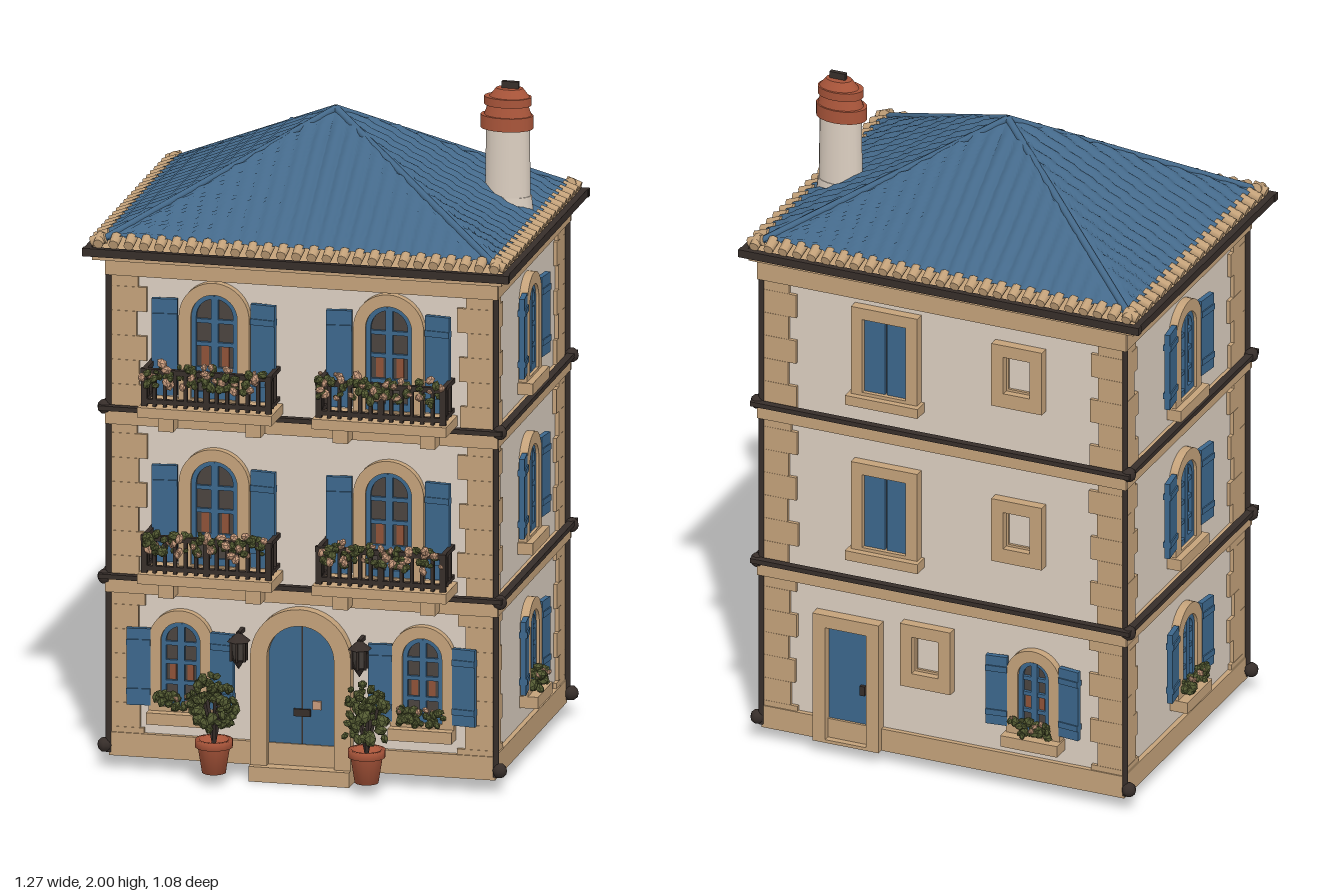
import * as THREE from 'three';
import { mergeGeometries, mergeVertices } from 'three/addons/utils/BufferGeometryUtils.js';

const mat = (name, color, extra = {}) => new THREE.MeshStandardMaterial({ name, color, ...extra });

export function createModel() {
  const M = {
    wall: mat('plaster', 0xdccfc1), stone: mat('sandstone', 0xc4a27a),
    roof: mat('roof blue', 0x44698a, { side: THREE.DoubleSide }), blue: mat('shutter blue', 0x3c678c),
    iron: mat('dark iron', 0x372e2a), clay: mat('terracotta', 0xa9553a),
    leaf: mat('leaf green', 0x555c33), flower: mat('pale flower', 0xc79a7c),
    glass: mat('dark glass', 0x4b443f), curtain: mat('rust curtain', 0x8f5238),
  };
  let seed = 7;
  const rnd = () => (seed = (seed * 16807) % 2147483647) / 2147483647;
  const model = new THREE.Group();
  model.name = 'townHouse';

  const add = (parent, name, geo, material, x = 0, y = 0, z = 0) => {
    const m = new THREE.Mesh(geo, material);
    m.name = name;
    m.position.set(x, y, z);
    parent.add(m);
    return m;
  };
  const box = (p, name, material, w, h, d, x, y, z) => add(p, name, new THREE.BoxGeometry(w, h, d), material, x, y, z);
  const group = (p, name, x = 0, y = 0, z = 0) => {
    const g = new THREE.Group();
    g.name = name;
    g.position.set(x, y, z);
    p.add(g);
    return g;
  };

  // Outline of an opening, standing on y = bottom, with a round or square head
  const outline = (w, h, bottom, arched, C = THREE.Shape) => {
    const s = new C(), r = w / 2, top = bottom + h;
    s.moveTo(-r, bottom).lineTo(r, bottom);
    if (arched) s.lineTo(r, top - r).absarc(0, top - r, r, 0, Math.PI, false);
    else s.lineTo(r, top).lineTo(-r, top);
    s.lineTo(-r, bottom);
    return s;
  };
  const slab = (shape, depth) => new THREE.ExtrudeGeometry(shape, { depth, bevelEnabled: false, curveSegments: 10 });
  const ring = (w, h, t, b, arched, depth) => {
    const s = outline(w, h, 0, arched);
    s.holes.push(outline(w - 2 * t, h - t - b, b, arched, THREE.Path));
    return slab(s, depth);
  };

  // Scatter of small leaves or petals inside a box
  const foliage = (p, name, material, n, size, w, h, d, x, y, z) => {
    const parts = [];
    for (let i = 0; i < n; i++) {
      const g = new THREE.IcosahedronGeometry(size * (0.6 + 0.7 * rnd()), 0);
      g.scale(1, 0.7, 0.8).rotateZ(rnd() * 3).rotateY(rnd() * 3);
      g.translate((rnd() - 0.5) * w, (rnd() - 0.5) * h, (rnd() - 0.5) * d);
      parts.push(g);
    }
    add(p, name, mergeGeometries(parts), material, x, y, z);
  };

  // Arched window with glazing bars and open shutters
  const archWindow = (face, x, y, w, h, shutterGap, shutterW, shutterH, shutterY) => {
    const g = group(face, 'archedWindow', x, y, 0), t = 0.036, iw = w - 2 * t, ih = h - t - 0.02;
    add(g, 'windowSurround', ring(w, h, t, 0.02, true, 0.035), M.stone, 0, 0, -0.01);
    add(g, 'windowGlass', slab(outline(iw, ih, 0.02, true), 0.03), M.glass, 0, 0, -0.025);
    add(g, 'windowFrame', ring(iw, ih, 0.014, 0.02, true, 0.01), M.blue, 0, 0.02, 0.006);
    box(g, 'mullion', M.blue, 0.02, ih - 0.01, 0.012, 0, 0.02 + ih / 2, 0.011);
    for (const f of [0.28, 0.52, 0.74]) box(g, 'glazingBar', M.blue, iw, 0.012, 0.01, 0, 0.02 + ih * f, 0.01);
    for (const s of [-1, 1]) {
      box(g, 'curtain', M.curtain, iw * 0.16, ih * 0.2, 0.004, s * iw * 0.22, 0.02 + ih * 0.41, 0.006);
      const sh = group(g, 'shutter', s * shutterGap, shutterY - y, 0.022);
      sh.rotation.y = -s * 0.12;
      box(sh, 'shutterPanel', M.blue, shutterW, shutterH, 0.016, 0, 0, 0);
      for (const k of [-0.32, 0.32]) box(sh, 'shutterBatten', M.blue, shutterW, 0.018, 0.024, 0, k * shutterH, 0);
    }
    return g;
  };
  const sillGarden = (g, w) => {
    box(g, 'windowSill', M.stone, w, 0.035, 0.06, 0, -0.012, 0.025);
    foliage(g, 'sillPlants', M.leaf, 34, 0.016, w * 0.72, 0.05, 0.03, 0, 0.04, 0.04);
    foliage(g, 'sillFlowers', M.flower, 5, 0.01, w * 0.7, 0.03, 0.02, 0, 0.055, 0.05);
  };

  // Balcony with railing, corbels and flowers
  const balcony = (face, x, y) => {
    const b = group(face, 'balcony', x, y, 0), W = 0.37, D = 0.115;
    box(b, 'balconyFloor', M.stone, 0.4, 0.03, 0.14, 0, 0.01, 0.07);
    for (const s of [-1, 1]) {
      box(b, 'corbel', M.stone, 0.045, 0.06, 0.08, s * 0.13, -0.03, 0.04);
      box(b, 'sideRail', M.iron, 0.014, 0.014, D, s * W / 2, 0.13, D / 2);
      box(b, 'sideRail', M.iron, 0.012, 0.012, D, s * W / 2, 0.04, D / 2);
      for (const z of [0.035, 0.075]) box(b, 'sideBaluster', M.iron, 0.01, 0.1, 0.01, s * W / 2, 0.08, z);
    }
    box(b, 'topRail', M.iron, W + 0.02, 0.016, 0.016, 0, 0.13, D);
    box(b, 'bottomRail', M.iron, W, 0.014, 0.014, 0, 0.04, D);
    for (let i = 0; i <= 12; i++) box(b, 'baluster', M.iron, i % 6 ? 0.01 : 0.018, 0.115, 0.012, -W / 2 + i * W / 12, 0.08, D);
    foliage(b, 'balconyLeaves', M.leaf, 60, 0.015, W, 0.06, 0.04, 0, 0.12, D + 0.012);
    foliage(b, 'balconyFlowers', M.flower, 26, 0.015, W, 0.07, 0.05, 0, 0.125, D + 0.018);
  };

  // Four walls, each with its own frame: local +z points outwards
  const face = (name, rot, x, z, hw) => {
    const f = group(model, name, x, 0, z);
    f.rotation.y = rot;
    box(f, 'wall', M.wall, 2 * hw, 1.5, 0.02, 0, 0.79, -0.01);
    box(f, 'plinth', M.stone, 2 * hw + 0.03, 0.07, 0.03, 0, 0.075, 0);
    box(f, 'frieze', M.stone, 2 * hw + 0.05, 0.06, 0.04, 0, 1.515, 0.005);
    for (const y of [0.555, 1.06]) {
      box(f, 'floorBand', M.stone, 2 * hw + 0.05, 0.045, 0.04, 0, y, 0.005);
      box(f, 'bandTrim', M.iron, 2 * hw + 0.08, 0.014, 0.022, 0, y + 0.027, 0.03);
    }
    // Toothed corner stones
    for (const s of [-1, 1]) for (let i = 0; i < 20; i++) {
      const w = (i % 2 ? 0.075 : 0.098) + 0.012 * rnd();
      box(f, 'cornerStone', M.stone, w, 0.073, 0.022, s * (hw + 0.01 - w / 2), 0.09 + i * 0.0735, 0);
    }
    return f;
  };
  const ZC = -0.06;
  const front = face('frontWall', 0, 0, 0.36, 0.56);
  const back = face('backWall', Math.PI, 0, -0.48, 0.56);
  const sides = [face('leftWall', Math.PI / 2, 0.56, ZC, 0.42), face('rightWall', -Math.PI / 2, -0.56, ZC, 0.42)];

  // Front windows, balconies, lanterns and potted shrubs
  for (const s of [-1, 1]) {
    for (const y of [0.61, 1.11]) {
      archWindow(front, s * 0.26, y, 0.21, 0.37, 0.147, 0.075, 0.29, y + 0.17);
      balcony(front, s * 0.26, y - 0.01);
    }
    sillGarden(archWindow(front, s * 0.36, 0.18, 0.19, 0.31, 0.125, 0.07, 0.23, 0.315), 0.19);

    const l = group(front, 'lantern', s * 0.18, 0.39, 0.05);
    box(l, 'lanternArm', M.iron, 0.012, 0.012, 0.06, 0, 0.05, -0.025);
    add(l, 'lanternGlass', new THREE.CylinderGeometry(0.026, 0.015, 0.06, 6), M.glass);
    add(l, 'lanternRoof', new THREE.ConeGeometry(0.036, 0.03, 6), M.iron, 0, 0.043, 0);
    add(l, 'lanternBase', new THREE.ConeGeometry(0.02, 0.03, 6), M.iron, 0, -0.042, 0).rotation.x = Math.PI;
    for (let i = 0; i < 6; i++) box(l, 'lanternBar', M.iron, 0.007, 0.062, 0.007, 0.023 * Math.sin(i * Math.PI / 3), 0, 0.023 * Math.cos(i * Math.PI / 3));

    const p = group(model, 'pottedShrub', s < 0 ? -0.24 : 0.215, 0.035, 0.465);
    const profile = [[0, 0], [0.035, 0], [0.047, 0.075], [0.055, 0.077], [0.055, 0.1], [0.043, 0.1], [0.04, 0.085], [0, 0.085]];
    add(p, 'pot', new THREE.LatheGeometry(profile.map(a => new THREE.Vector2(...a)), 16), M.clay);
    for (let i = 0; i < 5; i++) {
      const a = i * 1.26, r = 0.035;
      const path = new THREE.CatmullRomCurve3([new THREE.Vector3(0, 0.08, 0), new THREE.Vector3(r * 0.4 * Math.cos(a), 0.15, r * 0.4 * Math.sin(a)), new THREE.Vector3(r * Math.cos(a), 0.23, r * Math.sin(a))]);
      add(p, 'stem', new THREE.TubeGeometry(path, 5, 0.005, 5), M.iron);
    }
    foliage(p, 'shrubLeaves', M.leaf, 60, 0.019, 0.12, 0.13, 0.11, 0, 0.2, 0);
    foliage(p, 'shrubTop', M.leaf, 14, 0.015, 0.06, 0.06, 0.05, 0.01 * s, 0.265, 0);
  }

  // Front door and step
  const door = group(front, 'frontDoor', 0, 0.04, 0);
  add(door, 'doorSurround', ring(0.3, 0.48, 0.05, 0, true, 0.045), M.stone, 0, 0, -0.01);
  add(door, 'doorLeaf', slab(outline(0.2, 0.43, 0.01, true), 0.035), M.blue, 0, 0, -0.025);
  box(door, 'doorSeam', M.iron, 0.004, 0.42, 0.004, 0, 0.22, 0.01);
  box(door, 'letterPlate', M.iron, 0.05, 0.022, 0.008, 0, 0.165, 0.013);
  box(door, 'doorHandle', M.flower, 0.025, 0.025, 0.012, 0.045, 0.19, 0.013);
  box(model, 'doorStep', M.stone, 0.3, 0.045, 0.09, 0, 0.0225, 0.37);

  // Side windows
  for (const f of sides) {
    for (const y of [0.65, 1.13]) {
      const g = archWindow(f, 0, y, 0.18, 0.32, 0.122, 0.07, 0.24, y + 0.16);
      box(g, 'windowSill', M.stone, 0.2, 0.035, 0.05, 0, -0.005, 0.02);
    }
    sillGarden(archWindow(f, 0.01, 0.19, 0.17, 0.28, 0.115, 0.065, 0.22, 0.325), 0.175);
  }

  // Back: closed shutters, small blind openings, service door and garden window
  const smallOpening = y => {
    for (const x of y < 0.5 ? [-0.05] : [0.24]) {
      add(back, 'smallWindowSurround', ring(0.16, 0.2, 0.038, 0.045, false, 0.035), M.stone, x, y - 0.1, -0.005);
      add(back, 'smallWindowRim', ring(0.09, 0.12, 0.01, 0.01, false, 0.008), M.stone, x, y - 0.058, 0);
    }
  };
  [0.37, 0.83, 1.33].forEach(smallOpening);
  for (const y of [0.65, 1.15]) {
    const g = group(back, 'backWindow', -0.18, y, 0);
    add(g, 'backWindowSurround', ring(0.21, 0.31, 0.036, 0.04, false, 0.035), M.stone, 0, 0, -0.005);
    box(g, 'backWindowSill', M.stone, 0.23, 0.03, 0.06, 0, 0.015, 0.02);
    box(g, 'backWindowGlass', M.glass, 0.14, 0.235, 0.03, 0, 0.155, -0.01);
    for (const s of [-1, 1]) box(g, 'closedShutter', M.blue, 0.064, 0.23, 0.014, s * 0.035, 0.155, 0.01);
  }
  const bd = group(back, 'backDoor', -0.3, 0.04, 0);
  add(bd, 'backDoorSurround', ring(0.21, 0.41, 0.04, 0.01, false, 0.04), M.stone, 0, 0, -0.005);
  box(bd, 'backDoorLeaf', M.blue, 0.13, 0.36, 0.03, 0, 0.19, -0.008);
  box(bd, 'backDoorHandle', M.iron, 0.015, 0.03, 0.012, 0.045, 0.18, 0.012);
  sillGarden(archWindow(back, 0.29, 0.18, 0.17, 0.28, 0.115, 0.065, 0.22, 0.315), 0.18);

  // Downpipes with knobs at the floor bands
  for (const x of [-0.577, 0.577]) for (const z of [0.372, -0.492]) {
    add(model, 'downpipe', new THREE.CylinderGeometry(0.009, 0.009, 1.5, 8), M.iron, x, 0.8, z);
    for (const y of [0.07, 0.575, 1.085]) add(model, 'pipeKnob', new THREE.SphereGeometry(0.022, 8, 6), M.iron, x * 1.02, y, z);
  }

  // Cornice and gutter
  const CZ = -0.035;
  box(model, 'cornice', M.stone, 1.22, 0.035, 0.95, 0, 1.56, CZ);
  for (const s of [-1, 1]) {
    box(model, 'gutter', M.iron, 1.27, 0.024, 0.02, 0, 1.568, CZ + s * 0.482);
    box(model, 'gutter', M.iron, 0.02, 0.024, 0.97, s * 0.622, 1.568, CZ);
  }

  // Hipped roof: each slope is a triangle rippled into tile courses
  const RX = 0.59, RZ = 0.455, Y0 = 1.595, H = 0.315;
  const roof = group(model, 'roof', 0, 0, CZ);
  const slope = (half, run, rot) => {
    const geo = mergeVertices(new THREE.PlaneGeometry(2, 1, 120, 33)), p = geo.attributes.position;
    for (let i = 0; i < p.count; i++) {
      const s = p.getX(i), v = p.getY(i) + 0.5, along = s * half * (1 - v);
      const fade = Math.min(1, (1 - Math.abs(s)) * 10, (1 - v) * 6);
      const lift = 0.012 * Math.abs(Math.sin(along * Math.PI / 0.046)) + 0.007 * (1 - (v * 11) % 1);
      p.setXYZ(i, along, Y0 + H * v + fade * lift, run * (1 - v));
    }
    geo.computeVertexNormals();
    add(roof, 'roofSlope', geo, M.roof).rotation.y = rot;
    // Tile ends along the eave
    const n = Math.round(2 * half / 0.046);
    for (let i = 0; i <= n; i++) {
      const holder = group(roof, 'eaveTile');
      holder.rotation.y = rot;
      const t = add(holder, 'tileEnd', new THREE.CylinderGeometry(0.015, 0.017, 0.045, 8), M.stone, -half + i * 2 * half / n, Y0 + 0.004, run + 0.005);
      t.rotation.x = Math.PI / 2 + 0.3;
    }
  };
  slope(RX, RZ, 0);
  slope(RX, RZ, Math.PI);
  slope(RZ, RX, Math.PI / 2);
  slope(RZ, RX, -Math.PI / 2);
  for (const x of [-RX, RX]) for (const z of [-RZ, RZ])
    add(roof, 'hipRidge', new THREE.TubeGeometry(new THREE.LineCurve3(new THREE.Vector3(x, Y0, z), new THREE.Vector3(0, Y0 + H, 0)), 1, 0.011, 8), M.roof);

  // Chimney with clay cowl
  const ch = group(model, 'chimney', 0.49, 0, -0.125);
  ch.scale.z = 0.68;
  const drum = (name, m, r1, r2, y0, y1, x = 0) => add(ch, name, new THREE.CylinderGeometry(r1, r2, y1 - y0, 18), m, x, (y0 + y1) / 2, 0);
  drum('chimneyShaft', M.wall, 0.064, 0.068, 1.6, 1.87);
  drum('chimneyFoot', M.wall, 0.07, 0.076, 1.6, 1.66);
  drum('cowlBase', M.clay, 0.078, 0.078, 1.86, 1.9, -0.003);
  drum('cowlNeck', M.clay, 0.058, 0.07, 1.9, 1.935);
  drum('cowlBand', M.clay, 0.07, 0.07, 1.93, 1.955);
  drum('cowlTop', M.clay, 0.04, 0.06, 1.955, 1.98, 0.005);
  box(ch, 'cowlFinial', M.iron, 0.05, 0.03, 0.02, 0.008, 1.985, 0);
  return model;
}
